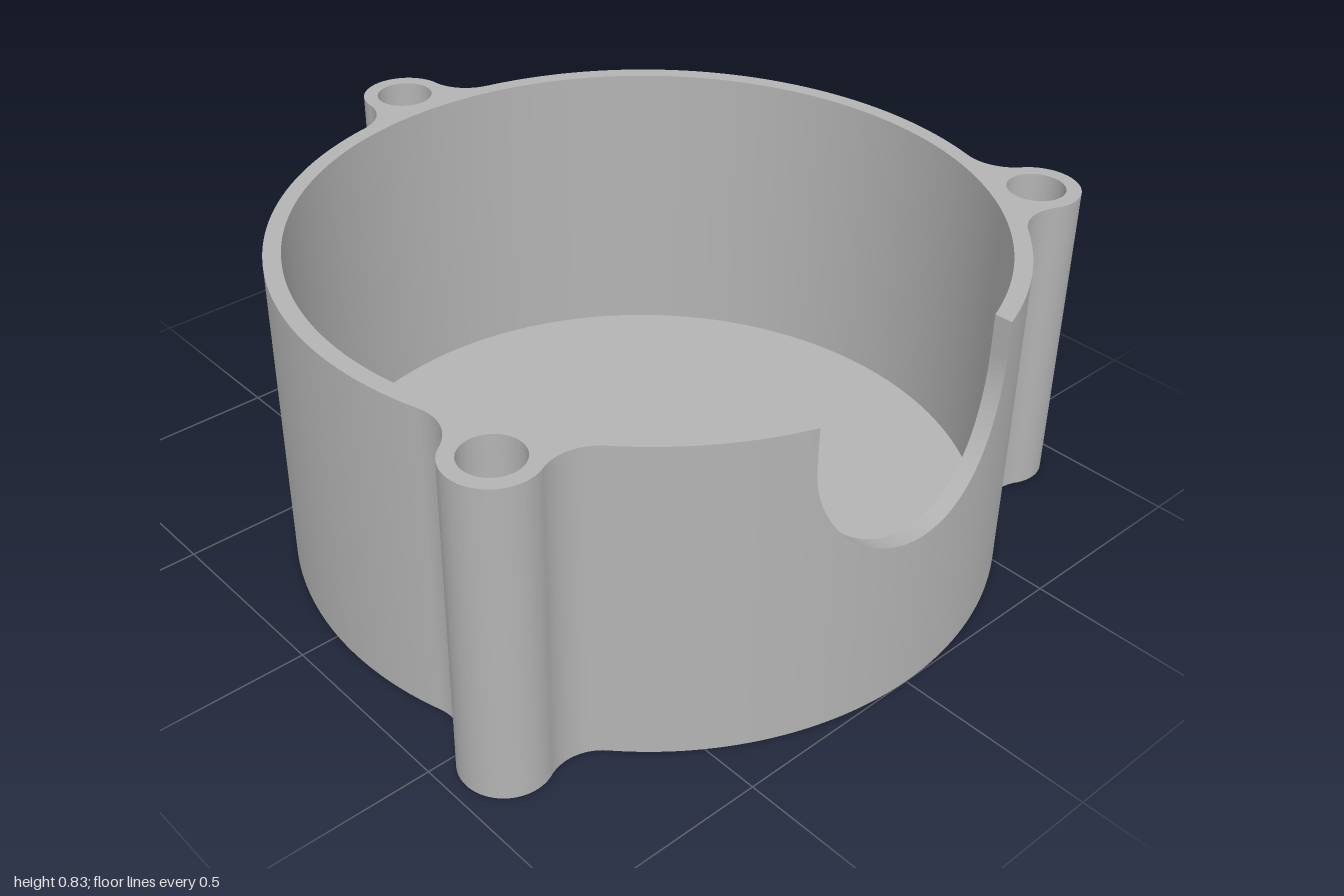
import * as THREE from 'three';
import { toCreasedNormals } from 'three/addons/utils/BufferGeometryUtils.js';

const CX = 0.095, HEIGHT = 0.83, FLOOR = 0.05;         // housing centre, height, floor thickness
const R_OUT = 0.905, R_IN = 0.862;                     // wall radii
const BOSS_D = 0.985, BOSS_R = 0.11, HOLE_R = 0.073;   // screw bosses
const FILLET = 0.12;                                   // blend between boss and wall
const NOTCH_W = 0.303, NOTCH_Y = 0.73;                 // cable notch half width and arc centre
const BOSSES = [Math.PI / 3, Math.PI, 5 * Math.PI / 3];

const polar = (r, a) => new THREE.Vector2(r * Math.cos(a), r * Math.sin(a));

// Open ring with three filleted bosses, interrupted at the notch
function wallShape() {
  const shape = new THREE.Shape();
  const dF = R_OUT + FILLET, dB = BOSS_R + FILLET;
  const theta = Math.acos((dF * dF + BOSS_D * BOSS_D - dB * dB) / (2 * dF * BOSS_D));
  const aOut = Math.asin(NOTCH_W / R_OUT), aIn = Math.asin(NOTCH_W / R_IN);
  let from = aOut;
  for (const b of BOSSES) {
    const c = polar(BOSS_D, b), f1 = polar(dF, b - theta), f2 = polar(dF, b + theta);
    const a1 = c.clone().sub(f1).angle(), a2 = c.clone().sub(f2).angle();
    shape.absarc(0, 0, R_OUT, from, b - theta, false);
    shape.absarc(f1.x, f1.y, FILLET, b - theta + Math.PI, a1, true);
    shape.absarc(c.x, c.y, BOSS_R, a1 + Math.PI, a2 + Math.PI, false);
    shape.absarc(f2.x, f2.y, FILLET, a2, b + theta + Math.PI, true);
    from = b + theta;
  }
  shape.absarc(0, 0, R_OUT, from, 2 * Math.PI - aOut, false);
  // inner face, back round in four arcs
  const start = 2 * Math.PI - aIn, step = (2 * Math.PI - 2 * aIn) / 4;
  for (let i = 0; i < 4; i++) {
    shape.absarc(0, 0, R_IN, start - i * step, start - (i + 1) * step, true);
  }
  shape.closePath();
  for (const b of BOSSES) {
    const c = polar(BOSS_D, b);
    shape.holes.push(new THREE.Path().absarc(c.x, c.y, HOLE_R, 0, 2 * Math.PI, true));
  }
  return shape;
}

// Wall below the notch: cross-sections swept along z, topped by a half-round cut
function sillGeometry() {
  const N = 64, pos = [];
  const section = (i) => {
    const t = -Math.PI / 2 + Math.PI * i / N;
    const z = NOTCH_W * Math.sin(t), y = NOTCH_Y - NOTCH_W * Math.cos(t);
    const xo = Math.sqrt(R_OUT * R_OUT - z * z), xi = Math.sqrt(R_IN * R_IN - z * z);
    return [[xo, 0, z], [xo, y, z], [xi, y, z], [xi, 0, z]];
  };
  for (let i = 0; i < N; i++) {
    const p = section(i), q = section(i + 1);
    for (let k = 0; k < 4; k++) {
      const n = (k + 1) % 4;
      pos.push(...p[k], ...p[n], ...q[n], ...p[k], ...q[n], ...q[k]);
    }
  }
  const g = new THREE.BufferGeometry();
  g.setAttribute('position', new THREE.Float32BufferAttribute(pos, 3));
  return toCreasedNormals(g, 0.5);
}

export function createModel() {
  const grey = new THREE.MeshStandardMaterial({ color: 0xb3b3b3 });
  grey.name = 'plain grey';
  const model = new THREE.Group();
  model.name = 'roundHousing';
  const add = (name, geometry, x = 0, y = 0, z = 0) => {
    const mesh = new THREE.Mesh(geometry, grey);
    mesh.name = name;
    mesh.position.set(CX + x, y, z);
    model.add(mesh);
  };

  // Wall with bosses
  const wall = new THREE.ExtrudeGeometry(wallShape(), {
    depth: HEIGHT, bevelEnabled: false, curveSegments: 40,
  });
  wall.rotateX(-Math.PI / 2);
  add('wall', toCreasedNormals(wall, 0.5));
  add('notchSill', sillGeometry());

  // Floor disc and closed bottoms of the screw holes
  add('floor', new THREE.CylinderGeometry(R_IN, R_IN, FLOOR, 160), 0, FLOOR / 2, 0);
  BOSSES.forEach((b, i) => {
    const c = polar(BOSS_D, b);
    add('holeBottom' + (i + 1), new THREE.CylinderGeometry(HOLE_R, HOLE_R, FLOOR, 40), c.x, FLOOR / 2, -c.y);
  });
  return model;
}
